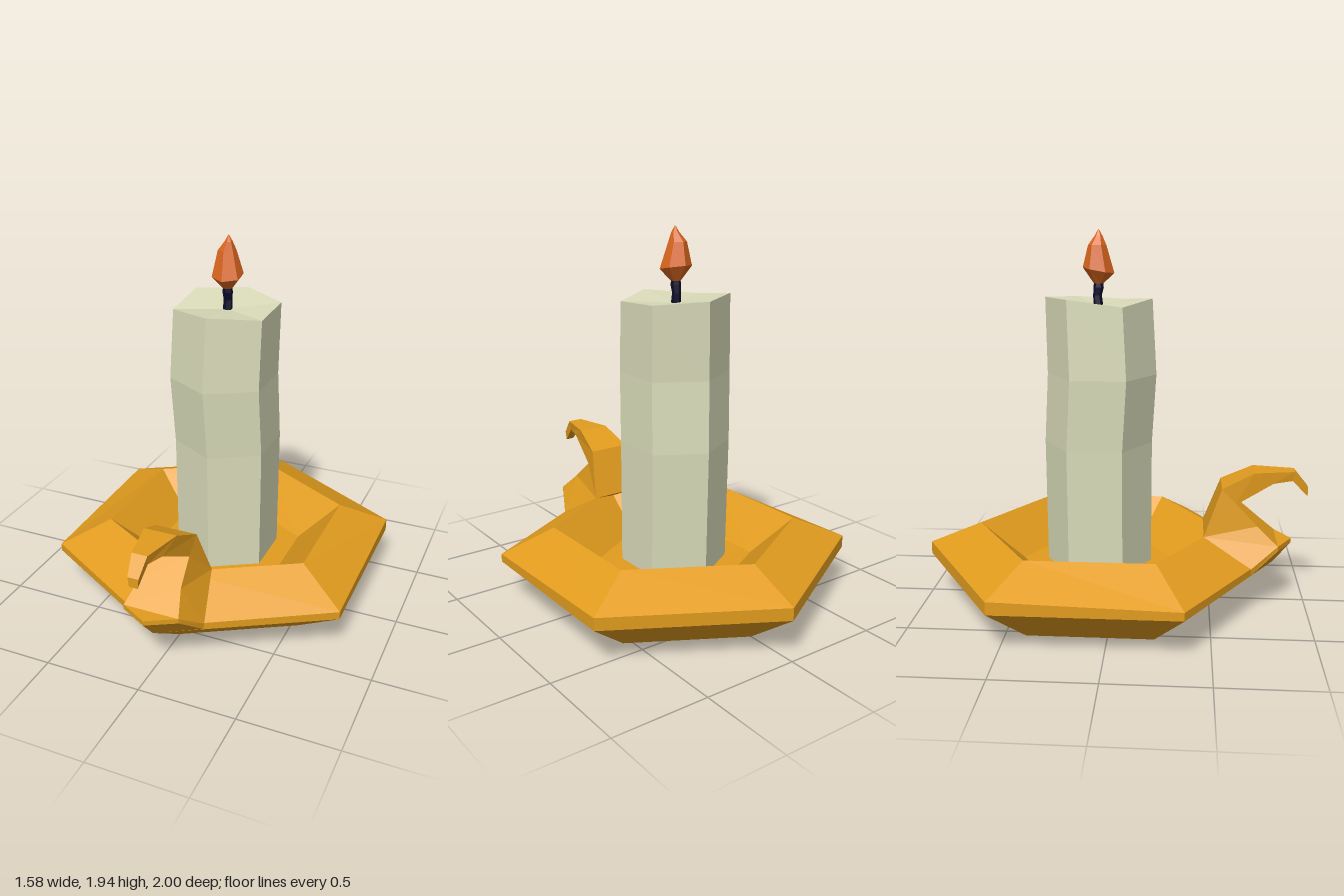
import * as THREE from 'three';

const AXIS_Z = -0.085; // the dish and candle stand a little behind the centre

const paint = (color) => new THREE.MeshStandardMaterial({ color, flatShading: true });
const gold = paint(0xe29c1e);
const wax = paint(0xd9dbb9);
const soot = paint(0x0c0c2c);
const fire = paint(0xdc6820);

// Six-sided turned part: profile rows are [radius, y], rule(v, row, side) moves vertices
function hexPart(name, profile, material, rule) {
  const geo = new THREE.LatheGeometry(profile.map(([r, y]) => new THREE.Vector2(r, y)), 6);
  const pos = geo.attributes.position;
  const v = new THREE.Vector3();
  for (let i = 0; i < pos.count; i++) {
    v.fromBufferAttribute(pos, i);
    rule(v, i % profile.length, Math.floor(i / profile.length) % 6);
    pos.setXYZ(i, v.x, v.y, v.z);
  }
  geo.computeVertexNormals();
  const mesh = new THREE.Mesh(geo, material);
  mesh.name = name;
  mesh.position.z = AXIS_Z;
  return mesh;
}

// Curled finger hook with a flared foot that wraps over the rim
function makeHandle() {
  // cross-sections from foot to tip: outer corner and inner corner on the +x side
  const sections = [
    [[0.215, 0.245, 0.706], [0.145, 0.345, 0.845]],
    [[0.15, 0.39, 0.465], [0.11, 0.44, 0.74]],
    [[0.11, 0.635, 0.555], [0.10, 0.545, 0.62]],
    [[0.085, 0.715, 0.72], [0.06, 0.655, 0.82]],
    [[0.04, 0.715, 0.93], [0.035, 0.665, 0.92]],
    [[0.028, 0.63, 1.0], [0.022, 0.58, 1.0]],
  ];
  const flip = ([x, y, z]) => [-x, y, z];
  const verts = [];
  const face = (...p) => {
    for (let i = 1; i < p.length - 1; i++) verts.push(...p[0], ...p[i], ...p[i + 1]);
  };
  const both = (...p) => {
    face(...p);
    face(...p.map(flip).reverse());
  };

  for (let i = 0; i < sections.length - 1; i++) {
    const [a, b] = sections[i];
    const [a2, b2] = sections[i + 1];
    both(a, a2, b2, b);
    face(a, flip(a), flip(a2), a2);
    face(flip(b), b, b2, flip(b2));
  }
  const [tipA, tipB] = sections[sections.length - 1];
  face(tipA, flip(tipA), flip(tipB), tipB);

  // thumb lip below the hook
  const [c, b] = sections[0];
  const d = [0.21, 0.21, 0.706], e = [0.145, 0.32, 0.845];
  const m = [0, 0.345, 0.925], n = [0, 0.32, 0.925], p = [0, 0.21, 0.829];
  face(flip(b), m, b);
  both(c, b, e, d);
  both(b, m, n, e);
  both(d, e, n, p);

  const geo = new THREE.BufferGeometry();
  geo.setAttribute('position', new THREE.Float32BufferAttribute(verts, 3));
  geo.computeVertexNormals();
  const mesh = new THREE.Mesh(geo, gold);
  mesh.name = 'handle';
  return mesh;
}

export function createModel() {
  const group = new THREE.Group();
  group.name = 'candleHolder';

  // Dish: outer wall, rim and sunken floor; the rim is thinner toward the front
  const dish = hexPart('dish',
    [[0, 0], [0.625, 0], [0.914, 0.21], [0.914, 0.275], [0.637, 0.39], [0.405, 0.2], [0, 0.2]],
    gold,
    (v, row) => { if (row === 3 && v.z > 0) v.y = v.z > 0.6 ? 0.245 : 0.252; });

  // Candle: slightly wavering column with an uneven, dipped top
  const sway = [[0.008, 0], [0.008, 0], [0.004, -0.004], [-0.009, 0.016], [0, 0], [0, 0]];
  const topY = [1.595, 1.572, 1.585, 1.6, 1.605, 1.57];
  const candle = hexPart('candle',
    [[0, 0.19], [0.275, 0.19], [0.279, 0.85], [0.28, 1.21], [0.273, 1.6], [0, 1.56]],
    wax,
    (v, row, side) => {
      v.x += sway[row][0];
      v.z += sway[row][1];
      if (row === 4) v.y = topY[side];
    });

  // Wick with a small kink
  const wick = hexPart('wick',
    [[0, 1.54], [0.026, 1.54], [0.022, 1.61], [0.026, 1.65], [0.022, 1.69], [0, 1.69]],
    soot,
    (v, row) => { v.z += row === 2 ? -0.006 : 0; });

  // Flame: faceted teardrop with a bent tip and a tilted waist
  const flame = hexPart('flame',
    [[0, 1.67], [0.025, 1.67], [0.08, 1.735], [0.046, 1.86], [0.02, 1.905], [0, 1.94]],
    fire,
    (v, row) => {
      if (row === 2) v.y -= v.z * 0.18;
      if (row === 3) { v.x -= 0.006; v.z -= 0.006; }
      if (row === 4) v.x += 0.004;
      if (row === 5) v.x += 0.005;
    });

  group.add(dish, makeHandle(), candle, wick, flame);
  return group;
}
